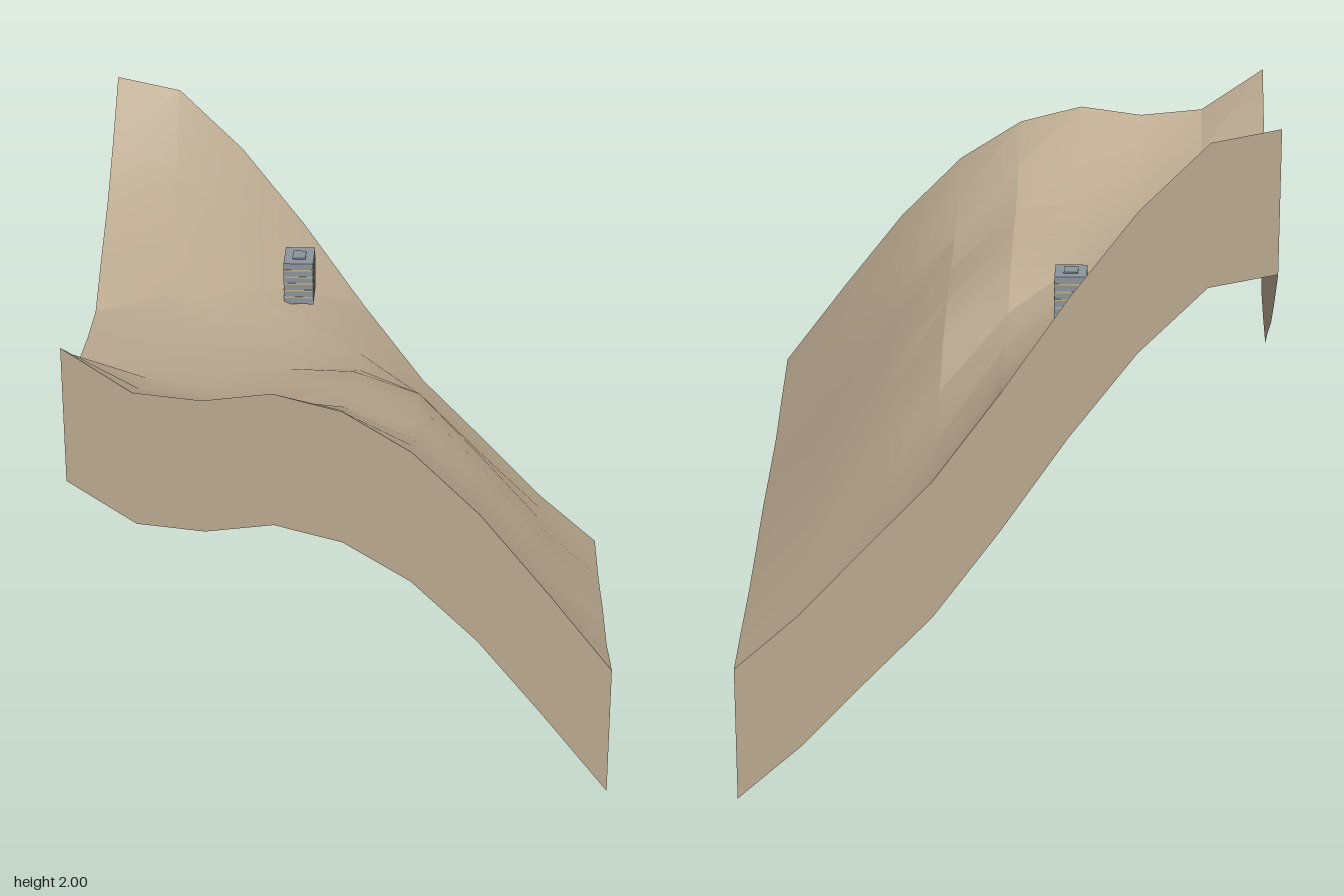
import * as THREE from 'three';
import { toCreasedNormals } from 'three/addons/utils/BufferGeometryUtils.js';

const HALF = 0.757, N = 8, DEPTH = 0.405;

// Ground heights: rows run back to front, columns from -x to +x
const HEIGHTS = [
  [2.0, 1.96, 1.77, 1.52, 1.24, 0.98, 0.78, 0.575, 0.405],
  [1.865, 1.77, 1.58, 1.385, 1.23, 1.03, 0.83, 0.63, 0.45],
  [1.745, 1.62, 1.46, 1.375, 1.26, 1.12, 0.92, 0.69, 0.49],
  [1.66, 1.53, 1.43, 1.37, 1.3, 1.22, 1.01, 0.765, 0.545],
  [1.565, 1.52, 1.44, 1.39, 1.385, 1.28, 1.08, 0.83, 0.605],
  [1.575, 1.53, 1.46, 1.43, 1.435, 1.32, 1.12, 0.88, 0.65],
  [1.6, 1.54, 1.49, 1.475, 1.46, 1.36, 1.17, 0.93, 0.695],
  [1.705, 1.6, 1.56, 1.575, 1.545, 1.44, 1.25, 1.01, 0.77],
  [1.815, 1.685, 1.665, 1.69, 1.64, 1.52, 1.33, 1.09, 0.84],
];
const step = (i) => -HALF + (2 * HALF * i) / N;

// Vertical strip hanging below one terrain edge
function skirt(at) {
  const pos = [], index = [];
  for (let k = 0; k <= N; k++) {
    const [i, j] = at(k);
    const y = HEIGHTS[j][i];
    pos.push(step(i), y, step(j), step(i), y - DEPTH, step(j));
    if (k < N) {
      const a = 2 * k;
      index.push(a, a + 1, a + 2, a + 2, a + 1, a + 3);
    }
  }
  const geo = new THREE.BufferGeometry();
  geo.setAttribute('position', new THREE.Float32BufferAttribute(pos, 3));
  geo.setIndex(index);
  geo.computeVertexNormals();
  return geo;
}

export function createModel() {
  const earth = new THREE.MeshStandardMaterial({ color: 0xbcaa91, side: THREE.DoubleSide });
  earth.name = 'earth';
  const concrete = new THREE.MeshStandardMaterial({ color: 0x8c959e });
  concrete.name = 'blueGreyConcrete';
  const sand = new THREE.MeshStandardMaterial({ color: 0xc4b083 });
  sand.name = 'paleBand';

  const model = new THREE.Group();
  model.name = 'hillside';
  const add = (parent, name, geo, mat, x = 0, y = 0, z = 0) => {
    const mesh = new THREE.Mesh(geo, mat);
    mesh.name = name;
    mesh.position.set(x, y, z);
    parent.add(mesh);
  };

  // Rolling ground surface
  const ground = new THREE.PlaneGeometry(2 * HALF, 2 * HALF, N, N).rotateX(-Math.PI / 2);
  HEIGHTS.flat().forEach((y, k) => ground.attributes.position.setY(k, y));
  add(model, 'groundSurface', toCreasedNormals(ground, 0.3), earth);

  // Four side walls, open underneath
  add(model, 'frontWall', skirt((k) => [k, N]), earth);
  add(model, 'backWall', skirt((k) => [N - k, 0]), earth);
  add(model, 'leftWall', skirt((k) => [N, N - k]), earth);
  add(model, 'rightWall', skirt((k) => [0, k]), earth);

  // Small building on the slope
  const house = new THREE.Group();
  house.name = 'building';
  house.position.set(-0.19, 1.39, -0.507);
  model.add(house);
  const w = 0.09, h = 0.135, d = 0.122;
  add(house, 'buildingBody', new THREE.BoxGeometry(w, h, d), concrete, 0, h / 2, 0);
  add(house, 'roofUnit', new THREE.BoxGeometry(0.04, 0.004, 0.055), concrete, 0, h + 0.002, 0);

  // Thin bands marking each storey
  for (let k = 1; k <= 5; k++) {
    const y = (h * k) / 6;
    for (const s of [-1, 1]) {
      add(house, 'sideBand', new THREE.BoxGeometry(0.002, 0.005, d * 0.94), sand, (s * w) / 2, y, 0);
      add(house, 'endBand', new THREE.BoxGeometry(w * 0.94, 0.005, 0.002), sand, 0, y, (s * d) / 2);
    }
  }
  return model;
}
